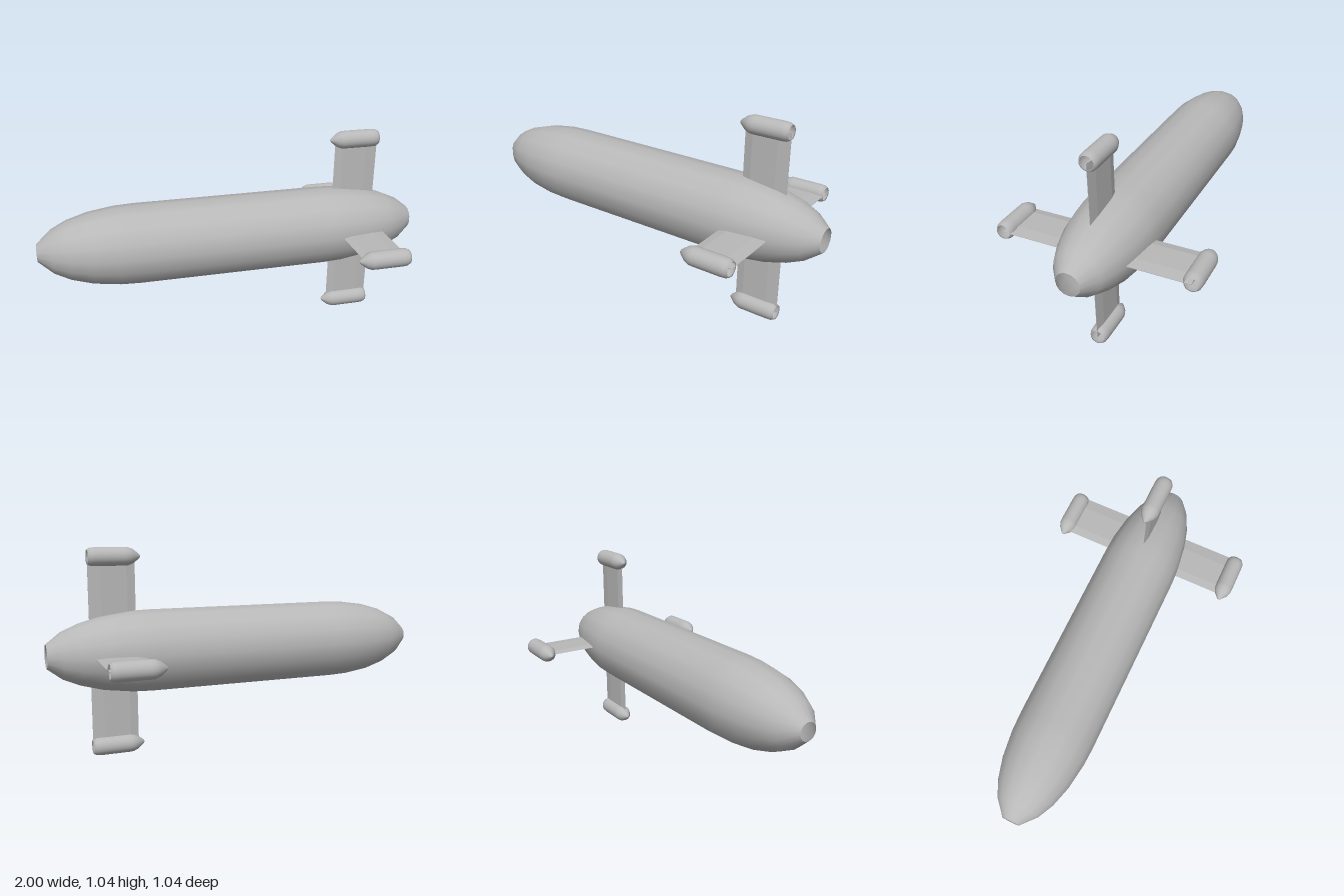
import * as THREE from 'three';

const AXIS_Y = 0.518; // height of the hull centreline
const ARM = 0.472; // distance from centreline to each pod

// Turn an [x, radius] profile around the x axis
function turned(profile, sides, material, name) {
  const points = profile.map(([x, r]) => new THREE.Vector2(r, x));
  const geometry = new THREE.LatheGeometry(points, sides);
  geometry.rotateZ(-Math.PI / 2);
  const mesh = new THREE.Mesh(geometry, material);
  mesh.name = name;
  return mesh;
}

export function createModel() {
  const model = new THREE.Group();
  model.name = 'finnedHull';
  const grey = new THREE.MeshStandardMaterial({ color: 0xb8b8b8, side: THREE.DoubleSide });
  grey.name = 'hull grey';

  // Hollow hull, open at the nose and the tail
  const hull = turned([
    [-1, 0.045], [-0.925, 0.112], [-0.845, 0.152], [-0.735, 0.184], [-0.6, 0.203], [-0.5, 0.207],
    [0.5, 0.207], [0.6, 0.203], [0.735, 0.184], [0.845, 0.153], [0.925, 0.118], [1, 0.06],
  ], 16, grey, 'hull');
  hull.position.y = AXIS_Y;
  model.add(hull);

  // Two crossing blades with sharp leading and trailing edges make four fins
  const section = new THREE.Shape([
    [0.558, 0], [0.6, -0.008], [0.73, -0.008], [0.79, -0.001],
    [0.79, 0.001], [0.73, 0.008], [0.6, 0.008],
  ].map(([x, y]) => new THREE.Vector2(x, y)));
  const blade = new THREE.ExtrudeGeometry(section, { depth: ARM * 2, bevelEnabled: false });
  blade.translate(0, 0, -ARM);
  ['horizontalFins', 'verticalFins'].forEach((name, i) => {
    const fins = new THREE.Mesh(blade, grey);
    fins.name = name;
    fins.rotation.x = i * Math.PI / 2;
    fins.position.y = AXIS_Y;
    model.add(fins);
  });

  // Hollow pods on the fin tips, pointed in front and open behind
  const podProfile = [
    [0.528, 0], [0.535, 0.011], [0.565, 0.035], [0.59, 0.045], [0.61, 0.046],
    [0.75, 0.046], [0.775, 0.044], [0.79, 0.036], [0.785, 0.033],
  ];
  const names = ['topPod', 'leftPod', 'bottomPod', 'rightPod'];
  names.forEach((name, i) => {
    const angle = i * Math.PI / 2;
    const pod = turned(podProfile, 20, grey, name);
    pod.position.set(0, AXIS_Y + ARM * Math.cos(angle), ARM * Math.sin(angle));
    model.add(pod);
  });

  return model;
}
